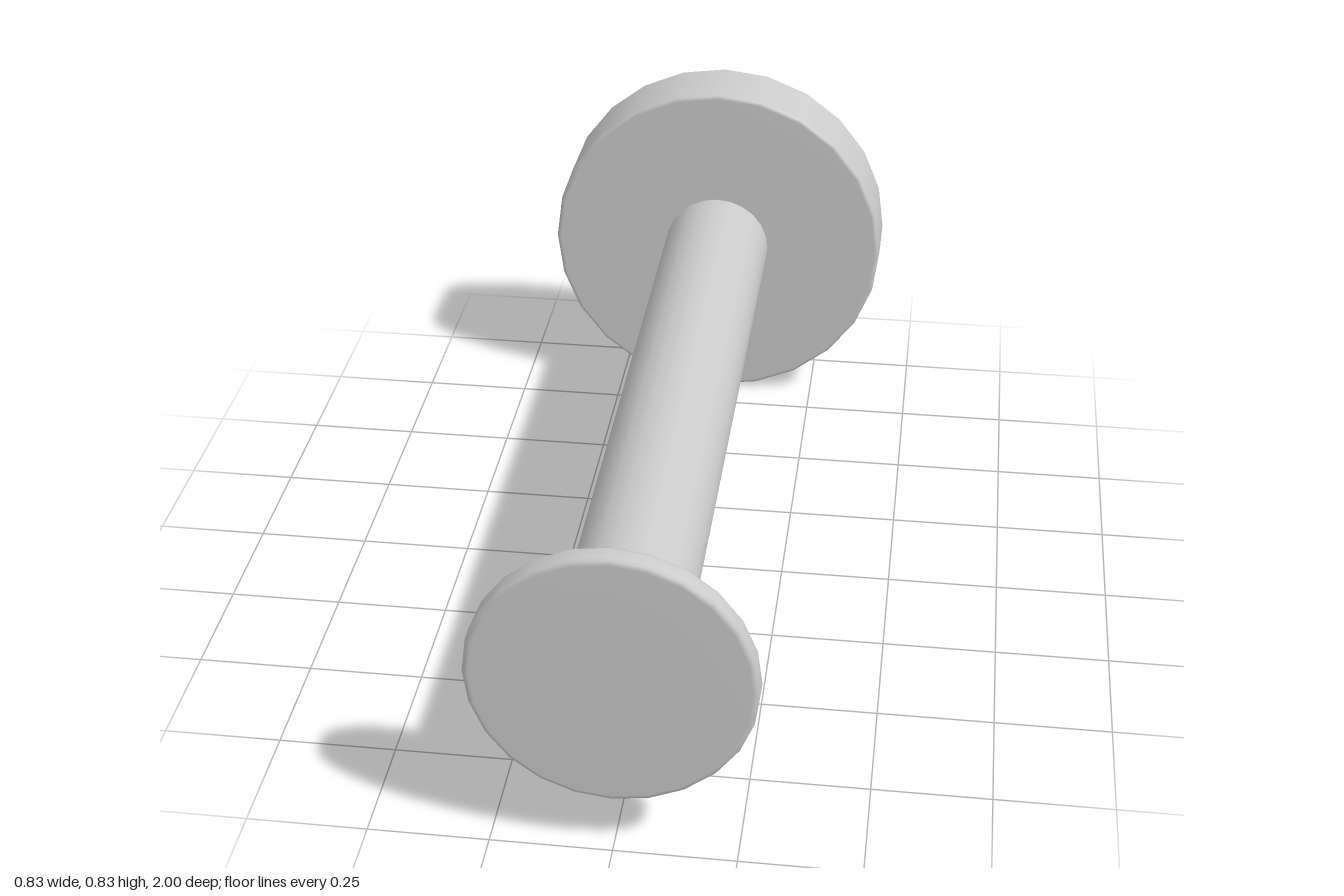
import * as THREE from 'three';

const SIDES = 24;
const AXIS_Y = 0.417;

// Smooth surface of revolution around the z axis; profile is [radius, z] from back to front
function turned(name, profile, material) {
  const points = profile.map(([r, z]) => new THREE.Vector2(r, z));
  const geometry = new THREE.LatheGeometry(points, SIDES);
  geometry.rotateX(Math.PI / 2);
  const mesh = new THREE.Mesh(geometry, material);
  mesh.name = name;
  return mesh;
}

export function createModel() {
  const model = new THREE.Group();
  model.name = 'wallPeg';
  const material = new THREE.MeshStandardMaterial({ color: 0xcccccc, side: THREE.DoubleSide });

  const body = new THREE.Group();
  body.name = 'body';
  body.position.y = AXIS_Y;
  model.add(body);

  // Hollow base cup, open at the back, with a softened front rim
  body.add(turned('baseCup', [
    [0.416, -1], [0.416, -0.845], [0.413, -0.838], [0.405, -0.835], [0.13, -0.835],
  ], material));

  // Hollow shaft, open into the cup
  body.add(turned('shaft', [[0.13, -0.835], [0.13, 0.95]], material));

  // Front end disc with softened edges
  body.add(turned('endDisc', [
    [0.13, 0.95], [0.275, 0.95], [0.284, 0.953], [0.288, 0.96],
    [0.288, 0.99], [0.284, 0.997], [0.275, 1], [0.16, 1], [0, 1],
  ], material));

  return model;
}
